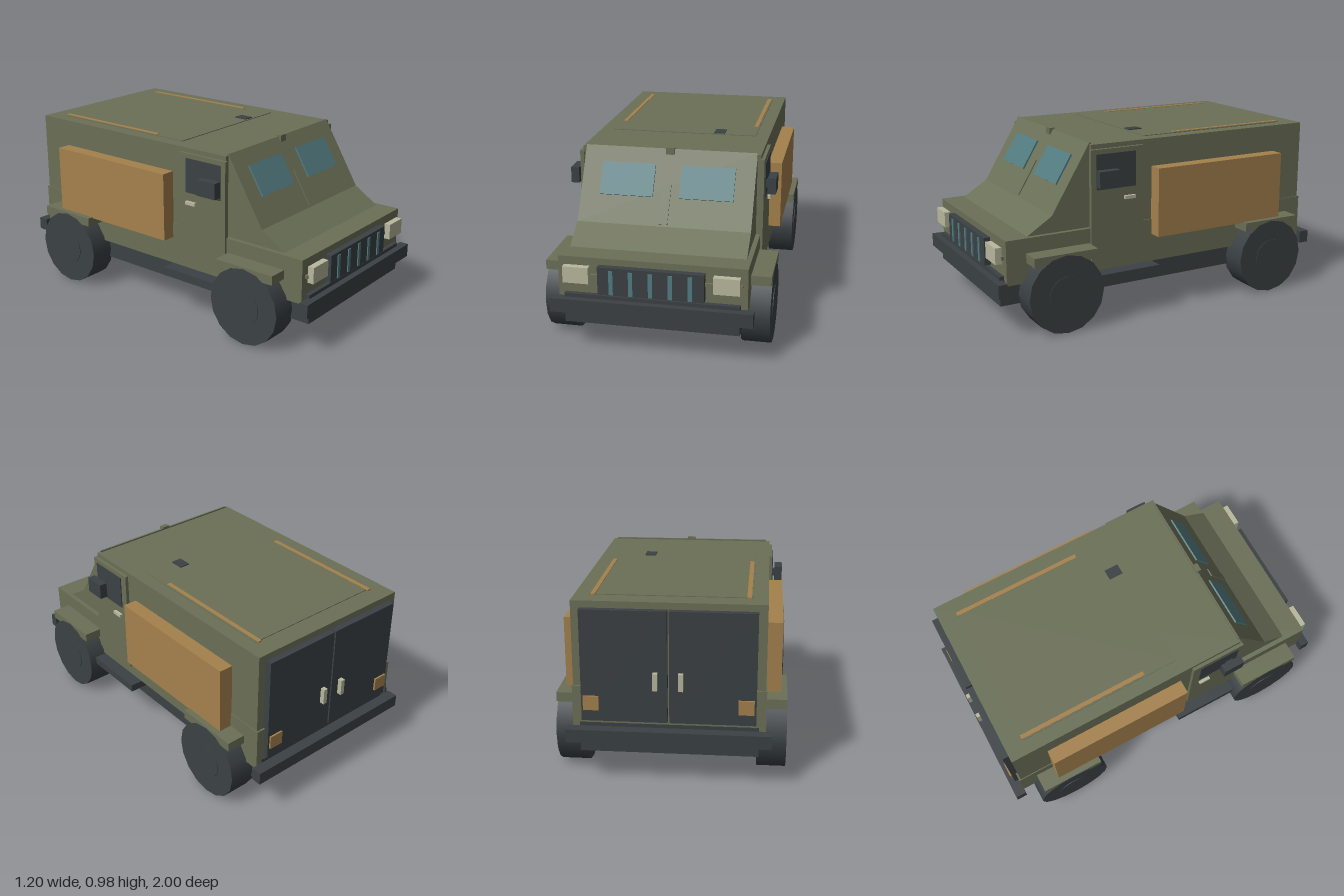
import * as THREE from 'three';

const mat = (name, color) => {
  const m = new THREE.MeshStandardMaterial({ color });
  m.name = name;
  return m;
};

export function createModel() {
  const olive = mat('olive paint', 0x6b7057);
  const dark = mat('dark rubber and steel', 0x3b4144);
  const tan = mat('tan panel', 0xa5814d);
  const glass = mat('teal glass', 0x527b80);
  const pale = mat('pale fittings', 0xb8b89e);

  const model = new THREE.Group();
  model.name = 'armouredTruck';

  const add = (name, geometry, material, x = 0, y = 0, z = 0) => {
    const mesh = new THREE.Mesh(geometry, material);
    mesh.name = name;
    mesh.position.set(x, y, z);
    model.add(mesh);
    return mesh;
  };
  // Box given by its extents along each axis
  const box = (name, material, [x0, x1], [y0, y1], [z0, z1]) =>
    add(name, new THREE.BoxGeometry(x1 - x0, y1 - y0, z1 - z0), material,
      (x0 + x1) / 2, (y0 + y1) / 2, (z0 + z1) / 2);
  // The same box on both sides
  const pair = (name, material, [x0, x1], y, z) => {
    box(name + 'Left', material, [x0, x1], y, z);
    box(name + 'Right', material, [-x1, -x0], y, z);
  };

  // Chassis and bumpers
  box('chassis', dark, [-0.455, 0.455], [0.16, 0.32], [-0.94, 0.965]);
  box('frontBumper', dark, [-0.525, 0.525], [0.225, 0.3], [0.95, 1]);
  box('rearBumper', dark, [-0.52, 0.52], [0.23, 0.3], [-1, -0.94]);

  // Hull
  box('lowerBody', olive, [-0.49, 0.49], [0.275, 0.515], [-0.94, 0.94]);
  box('upperBody', olive, [-0.485, 0.485], [0.515, 0.96], [-0.93, 0.45]);
  box('roofPanel', olive, [-0.41, 0.41], [0.95, 0.964], [-0.82, 0.09]);

  // Sloped windscreen and cowl
  const profile = new THREE.Shape([[0.44, 0.51], [0.82, 0.51], [0.67, 0.605], [0.45, 0.968], [0.44, 0.968]]
    .map(([z, y]) => new THREE.Vector2(z, y)));
  const cab = new THREE.ExtrudeGeometry(profile, { depth: 0.93, bevelEnabled: false });
  cab.translate(0, 0, -0.465).rotateY(-Math.PI / 2);
  add('windscreenFrame', cab, olive);

  // Plates lying on the windscreen slope
  const tilt = -Math.atan2(0.22, 0.363);
  const onSlope = (name, material, x, width, y0, y1, thick) => {
    const y = (y0 + y1) / 2;
    const z = 0.45 + (0.968 - y) * (0.22 / 0.363);
    const length = (y1 - y0) / Math.cos(tilt);
    add(name, new THREE.BoxGeometry(width, length, thick), material, x, y, z).rotation.x = tilt;
  };
  for (const s of [1, -1]) onSlope('windscreenPane', glass, s * 0.215, 0.288, 0.737, 0.89, 0.018);
  onSlope('windscreenDivider', olive, 0, 0.046, 0.615, 0.8, 0.012);
  box('dividerCap', olive, [-0.023, 0.023], [0.94, 0.977], [0.44, 0.47]);

  // Grille, its slats, and headlights
  box('grille', dark, [-0.275, 0.275], [0.33, 0.48], [0.935, 0.975]);
  for (let i = -2; i <= 2; i++)
    box('grilleSlat', glass, [i * 0.102 - 0.011, i * 0.102 + 0.011], [0.335, 0.465], [0.97, 0.981]);
  box('lampRail', olive, [-0.465, 0.465], [0.41, 0.428], [0.935, 0.955]);
  pair('headlight', pale, [0.32, 0.455], [0.387, 0.475], [0.95, 0.985]);

  // Cab doors, windows, handles, mirrors and steps
  pair('door', olive, [0.48, 0.503], [0.335, 0.935], [0.15, 0.46]);
  pair('doorWindow', dark, [0.5, 0.508], [0.72, 0.91], [0.195, 0.43]);
  pair('doorHandle', pale, [0.5, 0.52], [0.655, 0.673], [0.2, 0.265]);
  pair('mirrorArm', dark, [0.5, 0.53], [0.765, 0.805], [0.36, 0.4]);
  pair('mirror', dark, [0.52, 0.565], [0.742, 0.83], [0.32, 0.44]);
  pair('step', dark, [0.44, 0.555], [0.225, 0.268], [0.07, 0.46]);

  // Side lockers
  pair('sideLocker', tan, [0.48, 0.563], [0.43, 0.81], [-0.735, 0.085]);

  // Wheels, hubs and fenders
  for (const z of [0.65, -0.66]) {
    pair('fender', olive, [0.48, 0.595], [0.385, 0.435], [z - 0.18, z + 0.18]);
    for (const s of [1, -1]) {
      const tyre = new THREE.CylinderGeometry(0.213, 0.213, 0.153, 16).rotateZ(Math.PI / 2);
      const hub = new THREE.CylinderGeometry(0.1, 0.1, 0.02, 16).rotateZ(Math.PI / 2);
      add('wheel', tyre, dark, s * 0.519, 0.213, z);
      add('wheelHub', hub, dark, s * 0.589, 0.213, z);
    }
  }

  // Rear doors with handles and lamps
  pair('rearDoor', dark, [0.005, 0.44], [0.34, 0.925], [-0.965, -0.925]);
  pair('rearHandle', pale, [0.052, 0.076], [0.52, 0.61], [-0.99, -0.96]);
  pair('rearLamp', tan, [0.35, 0.43], [0.4, 0.475], [-0.975, -0.96]);

  // Roof strips and vent
  pair('roofStrip', tan, [0.379, 0.402], [0.955, 0.967], [-0.83, -0.1]);
  box('roofVent', dark, [0.172, 0.232], [0.95, 0.969], [0.0, 0.08]);

  return model;
}
